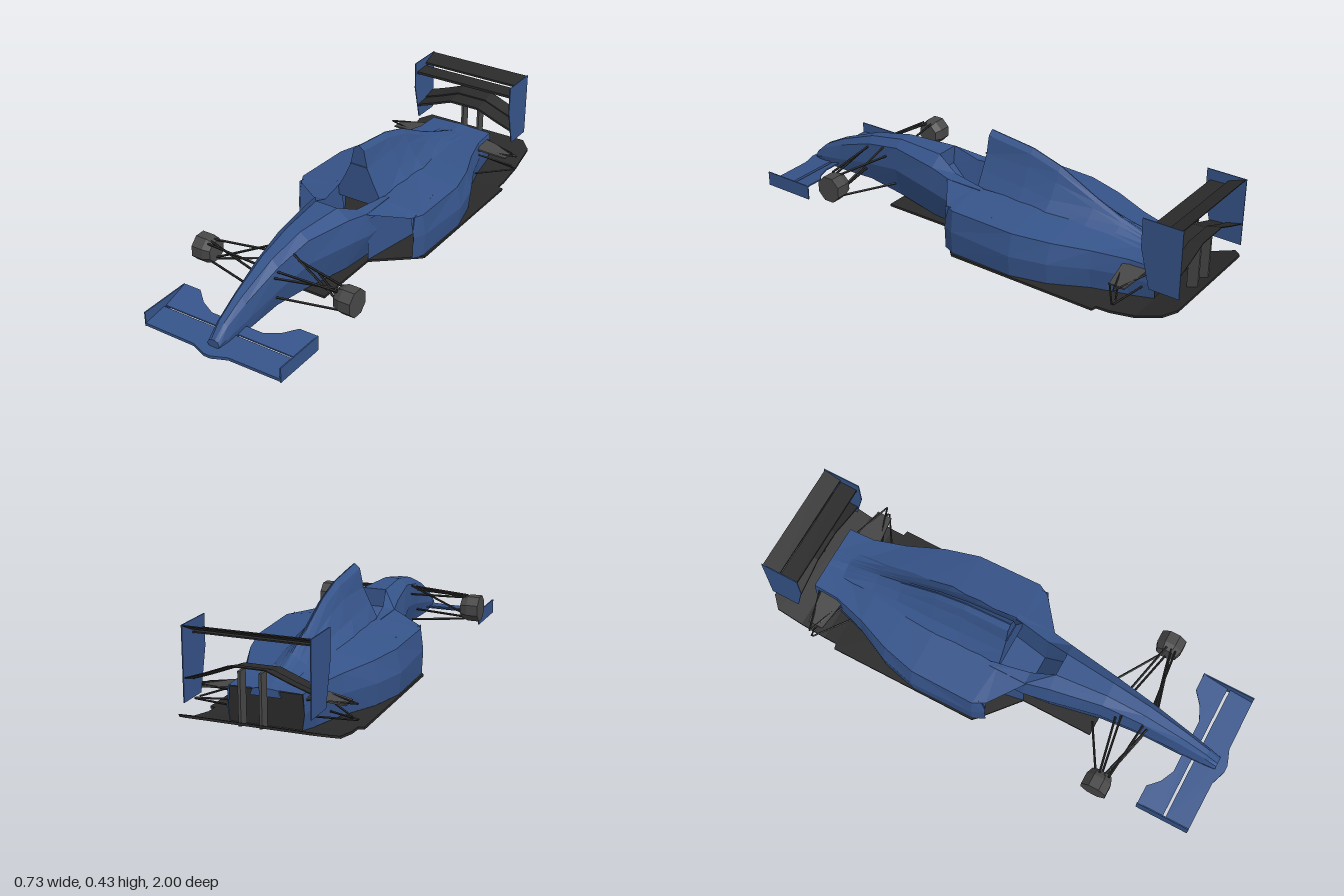
import * as THREE from 'three';

const paint = (color) => new THREE.MeshStandardMaterial({ color, flatShading: true, side: THREE.DoubleSide });
const blue = paint(0x36548a), black = paint(0x2a2a2a), grey = paint(0x484848);

// Skin between rows of [x, y, z] points; closed rows form a tube, optionally capped
function loft(rows, closed = true, caps = closed) {
  const pos = [], tri = (...p) => p.forEach((q) => pos.push(...q));
  const n = rows[0].length;
  for (let i = 0; i < rows.length - 1; i++) {
    for (let j = 0; j < (closed ? n : n - 1); j++) {
      const k = (j + 1) % n, a = rows[i], b = rows[i + 1];
      tri(a[j], a[k], b[k]);
      tri(a[j], b[k], b[j]);
    }
  }
  if (caps) {
    const first = rows[0], last = rows[rows.length - 1];
    // zigzag caps between mirrored pairs
    for (let j = 0; j < n / 2 - 1; j++) {
      const k = n - 1 - j;
      tri(first[j], first[k], first[j + 1]);
      tri(first[j + 1], first[k], first[k - 1]);
      tri(last[j], last[j + 1], last[k]);
      tri(last[j + 1], last[k - 1], last[k]);
    }
  }
  const g = new THREE.BufferGeometry();
  g.setAttribute('position', new THREE.Float32BufferAttribute(pos, 3));
  g.computeVertexNormals();
  return g;
}

// Half section (bottom to top, +x side) mirrored into a full ring at z
const ring = (z, half) => [
  ...half.map(([x, y]) => [x, y, z]),
  ...half.slice().reverse().map(([x, y]) => [-x, y, z]),
];

// Flat planform given as [x, z], with height set by a rule
function plate(points, thick, rise) {
  const shape = new THREE.Shape(points.map(([x, z]) => new THREE.Vector2(x, -z)));
  const g = new THREE.ExtrudeGeometry(shape, { depth: thick, bevelEnabled: false });
  g.rotateX(-Math.PI / 2);
  const p = g.attributes.position;
  for (let i = 0; i < p.count; i++) p.setY(i, p.getY(i) + rise(p.getX(i), p.getZ(i)));
  g.computeVertexNormals();
  return g;
}

function rod(a, b, r = 0.005) {
  const A = new THREE.Vector3(...a), B = new THREE.Vector3(...b);
  return new THREE.TubeGeometry(new THREE.LineCurve3(A, B), 1, r, 5);
}

export function createModel() {
  const car = new THREE.Group();
  const add = (name, geo, mat, parent = car) => {
    const m = new THREE.Mesh(geo, mat);
    m.name = name;
    parent.add(m);
    return m;
  };

  // Floor with rising diffuser: z, half width, height
  add('floor', loft([
    [0.44, 0.13, 0], [0.13, 0.13, 0], [0, 0.285, 0], [-0.02, 0.305, 0], [-0.68, 0.308, 0], [-0.685, 0.285, 0],
    [-0.74, 0.285, 0.002], [-0.85, 0.285, 0.022], [-0.96, 0.285, 0.065], [-1, 0.24, 0.08],
  ].map(([z, w, y]) => ring(z, [[w, y], [w, y + 0.01]]))), black);

  // Nose and front of the tub
  add('nose', loft([
    ring(0.955, [[0.02, 0.035], [0.028, 0.045], [0.02, 0.06], [0.008, 0.066]]),
    ring(0.9, [[0.03, 0.03], [0.035, 0.06], [0.025, 0.1], [0.012, 0.115]]),
    ring(0.8, [[0.036, 0.03], [0.043, 0.08], [0.033, 0.145], [0.015, 0.168]]),
    ring(0.62, [[0.04, 0.04], [0.058, 0.12], [0.05, 0.21], [0.022, 0.238]]),
    ring(0.45, [[0.05, 0.022], [0.08, 0.15], [0.068, 0.245], [0.03, 0.272]]),
    ring(0.23, [[0.09, 0.01], [0.125, 0.14], [0.105, 0.235], [0.05, 0.275]]),
  ]), blue);

  // Open cockpit tub: outer side, rim, inner wall
  add('cockpit', loft([
    ring(0.23, [[0.09, 0.01], [0.125, 0.14], [0.105, 0.235], [0.05, 0.275], [0.04, 0.2]]),
    ring(0.13, [[0.1, 0.01], [0.14, 0.13], [0.125, 0.222], [0.075, 0.228], [0.06, 0.07]]),
    ring(-0.03, [[0.11, 0.01], [0.14, 0.13], [0.125, 0.222], [0.105, 0.222], [0.09, 0.07]]),
  ], true, false), blue);

  // Engine cover with tall air intake
  add('engineCover', loft([
    ring(0, [[0.12, 0.18], [0.068, 0.28], [0.04, 0.34], [0.024, 0.415], [0.002, 0.434]]),
    ring(-0.2, [[0.125, 0.19], [0.07, 0.265], [0.036, 0.34], [0.02, 0.39], [0.002, 0.41]]),
    ring(-0.33, [[0.13, 0.19], [0.07, 0.25], [0.035, 0.31], [0.018, 0.35], [0.002, 0.37]]),
    ring(-0.5, [[0.115, 0.18], [0.06, 0.22], [0.03, 0.25], [0.015, 0.27], [0.002, 0.283]]),
    ring(-0.62, [[0.1, 0.165], [0.06, 0.195], [0.03, 0.212], [0.015, 0.222], [0.002, 0.23]]),
    ring(-0.77, [[0.08, 0.145], [0.06, 0.168], [0.03, 0.17], [0.015, 0.172], [0.002, 0.174]]),
    ring(-0.85, [[0.06, 0.14], [0.05, 0.166], [0.03, 0.169], [0.015, 0.17], [0.002, 0.17]]),
  ]), blue);
  add('airIntakeLip', new THREE.BoxGeometry(0.08, 0.005, 0.008), blue).position.set(0, 0.343, 0);
  add('gearboxPanel', loft([-0.835, -0.845].map((z) => ring(z, [[0.14, 0.02], [0.148, 0.09], [0.14, 0.162]]))), black);

  // Everything paired is built on the +x side and mirrored
  for (const s of [1, -1]) {
    const side = new THREE.Group();
    side.name = s > 0 ? 'leftSide' : 'rightSide';
    side.scale.x = s;
    car.add(side);
    const put = (name, geo, mat) => add(name, geo, mat, side);

    // Sidepod shell with swept front opening
    put('sidepod', loft([
      [[0.275, 0.012, 0.03], [0.28, 0.11, 0.03], [0.265, 0.197, 0.03], [0.12, 0.222, 0.14]],
      [[0.298, 0.012, -0.02], [0.303, 0.11, -0.02], [0.292, 0.198, -0.02], [0.11, 0.222, 0]],
      [[0.302, 0.012, -0.3], [0.31, 0.1, -0.3], [0.288, 0.19, -0.3], [0.085, 0.218, -0.3]],
      [[0.265, 0.012, -0.45], [0.275, 0.1, -0.45], [0.25, 0.182, -0.45], [0.07, 0.208, -0.45]],
      [[0.19, 0.012, -0.6], [0.205, 0.1, -0.6], [0.19, 0.172, -0.6], [0.06, 0.192, -0.6]],
      [[0.15, 0.014, -0.74], [0.16, 0.1, -0.74], [0.15, 0.165, -0.74], [0.04, 0.172, -0.74]],
      [[0.14, 0.022, -0.85], [0.15, 0.09, -0.85], [0.145, 0.165, -0.85], [0.03, 0.168, -0.85]],
    ], false), blue);

    // Inlet duct and radiator
    const wall = (x0, z0, x1, z1) => loft([[[x0, 0.012, z0], [x0, 0.2, z0]], [[x1, 0.012, z1], [x1, 0.2, z1]]], false);
    put('inletOuterWall', wall(0.276, 0.028, 0.245, -0.18), blue);
    put('inletInnerWall', wall(0.13, 0.13, 0.185, -0.18), blue);
    put('radiator', wall(0.185, -0.18, 0.245, -0.18), black);

    // Front hub
    const hub = (r0, r1, w, x) => new THREE.CylinderGeometry(r0, r1, w, 8)
      .rotateY(Math.PI / 8).rotateZ(Math.PI / 2).translate(x, 0.14, 0.567);
    put('frontHub', hub(0.046, 0.058, 0.03, 0.302), grey);
    put('frontBrakeDrum', hub(0.058, 0.058, 0.05, 0.342), grey);

    // Front suspension
    [
      [[0.3, 0.185, 0.56], [0.06, 0.19, 0.51]],
      [[0.3, 0.185, 0.58], [0.05, 0.178, 0.645]],
      [[0.3, 0.092, 0.55], [0.1, 0.1, 0.43]],
      [[0.3, 0.092, 0.58], [0.04, 0.088, 0.64]],
      [[0.3, 0.185, 0.6], [0.05, 0.195, 0.625]],
      [[0.29, 0.11, 0.567], [0.05, 0.228, 0.53]],
    ].forEach(([a, b]) => put('frontSuspensionArm', rod(a, b), black));

    // Rear suspension
    put('rearDeflector', loft([
      [[0.13, 0.15, -0.71], [0.13, 0.15, -0.82], [0.13, 0.142, -0.82], [0.13, 0.142, -0.71]],
      [[0.285, 0.13, -0.735], [0.285, 0.13, -0.8], [0.285, 0.124, -0.8], [0.285, 0.124, -0.735]],
    ]), grey);
    [
      [[0.32, 0.13, -0.775], [0.14, 0.14, -0.71]],
      [[0.32, 0.13, -0.775], [0.14, 0.14, -0.83]],
      [[0.32, 0.07, -0.77], [0.14, 0.045, -0.65]],
      [[0.32, 0.07, -0.775], [0.14, 0.07, -0.8]],
      [[0.3, 0.08, -0.775], [0.14, 0.13, -0.7]],
    ].forEach(([a, b]) => put('rearSuspensionArm', rod(a, b, 0.004), black));

    // Wing end plates and rear wing pylon
    put('frontWingEndPlate', new THREE.BoxGeometry(0.005, 0.062, 0.23).translate(0.309, 0.046, 0.855), blue);
    const outline = [[0.835, 0.415], [0.835, 0.295], [0.875, 0.134], [1, 0.134], [1, 0.415]];
    const end = new THREE.ExtrudeGeometry(
      new THREE.Shape(outline.map((p) => new THREE.Vector2(...p))), { depth: 0.004, bevelEnabled: false });
    put('rearWingEndPlate', end.rotateY(Math.PI / 2).translate(0.238, 0, 0), blue);
    put('rearWingPylon', new THREE.BoxGeometry(0.01, 0.2, 0.045).translate(0.04, 0.165, -0.95), grey);
  }

  // Front wing: main plane and scalloped flap
  const mirror = (half) => [...half, ...half.slice().reverse().map(([x, z]) => [-x, z])];
  add('frontWingMainPlane', plate(mirror([[0.309, 0.866], [0.309, 0.97], [0.08, 0.972], [0.015, 0.995]]),
    0.012, (x, z) => 0.018 + (0.97 - z) * 0.15), blue);
  add('frontWingFlap', plate(mirror([[0.309, 0.855], [0.309, 0.742], [0.23, 0.742], [0.18, 0.785], [0.12, 0.812], [0.02, 0.812]]),
    0.006, (x, z) => 0.038 + (0.855 - z) * 0.3), blue);

  // Rear wing elements: spanwise sections from leading to trailing edge
  const element = (name, span, z0, y0, z1, y1, t) => add(name, loft(span.map(([x, dy]) => [
    [x, y0 + dy, z0], [x, y1 + dy, z1], [x, y1 + dy - t / 2, z1], [x, y0 + dy - t, z0],
  ])), black);
  const straight = [[-0.238, 0], [0.238, 0]];
  const arch = [[-0.238, 0], [-0.16, 0.027], [-0.07, 0.062], [0.07, 0.062], [0.16, 0.027], [0.238, 0]];
  element('rearWingMainPlane', straight, -0.85, 0.37, -0.925, 0.373, 0.011);
  element('rearWingFlap', straight, -0.925, 0.388, -0.995, 0.414, 0.009);
  element('lowerWingMainPlane', arch, -0.865, 0.2, -0.935, 0.206, 0.01);
  element('lowerWingFlap', arch, -0.935, 0.212, -0.995, 0.226, 0.008);

  return car;
}
